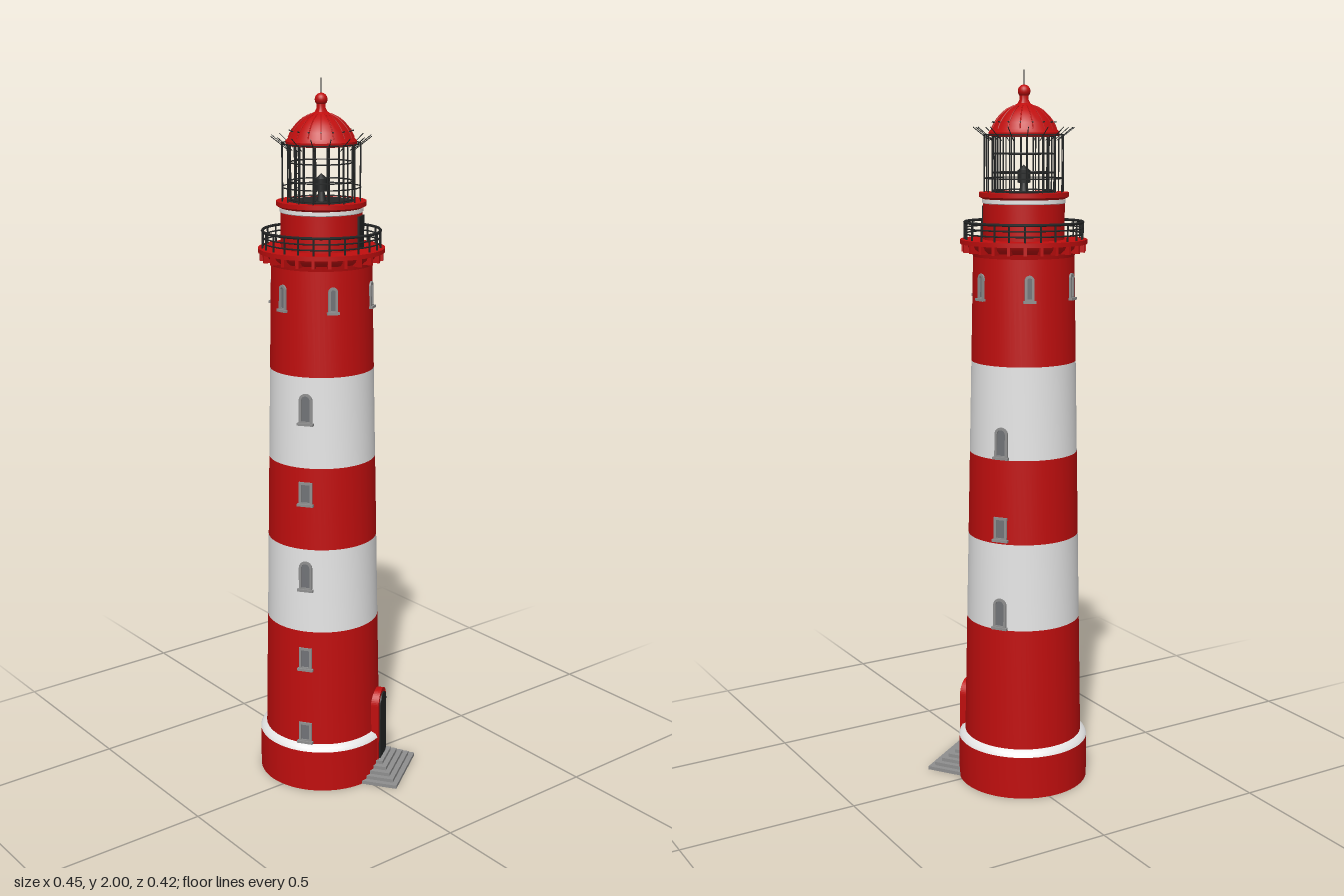
import * as THREE from 'three';
import { toCreasedNormals } from 'three/addons/utils/BufferGeometryUtils.js';

const mat = (name, color, side = THREE.FrontSide) => {
  const m = new THREE.MeshStandardMaterial({ color, side });
  m.name = name;
  return m;
};

export function createModel() {
  const red = mat('red paint', 0xc00e0e);
  const white = mat('white paint', 0xe6e6e6);
  const stone = mat('grey stone', 0x8f8f8f);
  const pane = mat('window pane', 0x707276);
  const iron = mat('dark iron', 0x242626, THREE.DoubleSide);

  const model = new THREE.Group();
  const tower = new THREE.Group();
  tower.name = 'lighthouse';
  tower.position.set(-0.0435, 0, 0.024);
  model.add(tower);

  const add = (name, geo, material, parent = tower) => {
    const m = new THREE.Mesh(geo, material);
    m.name = name;
    parent.add(m);
    return m;
  };
  const lathe = (name, pts, material, seg = 64) =>
    add(name, toCreasedNormals(new THREE.LatheGeometry(pts.map(p => new THREE.Vector2(...p)), seg), 0.6), material);
  // Turns an object to face outward at an azimuth measured from +z towards +x
  const place = (obj, deg, r, y) => {
    const a = THREE.MathUtils.degToRad(deg);
    obj.position.set(Math.sin(a) * r, y, Math.cos(a) * r);
    obj.rotation.set(0, a, 0, 'YXZ');
    return obj;
  };
  const polar = (deg, r, y) => {
    const a = THREE.MathUtils.degToRad(deg);
    return new THREE.Vector3(Math.sin(a) * r, y, Math.cos(a) * r);
  };
  const bar = (name, a, b, t, material = iron) => {
    const m = add(name, new THREE.CylinderGeometry(t, t, a.distanceTo(b), 5), material);
    m.position.copy(a).lerp(b, 0.5);
    m.quaternion.setFromUnitVectors(new THREE.Vector3(0, 1, 0), b.clone().sub(a).normalize());
    return m;
  };
  const ring = (name, r, y, t, material = iron, seg = 48) => {
    const m = add(name, new THREE.TorusGeometry(r, t, 5, seg), material);
    m.rotation.x = Math.PI / 2;
    m.position.y = y;
    return m;
  };
  const wallR = y => 0.167 - (y - 0.14) * 0.0209;

  // Plinth with sloped white shoulder
  lathe('plinth', [[0.185, 0], [0.185, 0.122]], red);
  lathe('plinthShoulder', [[0.185, 0.122], [0.18, 0.132], [0.166, 0.14]], white);
  const foot = add('plinthUnderside', new THREE.CircleGeometry(0.185, 64), stone);
  foot.rotation.x = Math.PI / 2;

  // Tapered shaft in painted bands
  const levels = [0.138, 0.485, 0.73, 0.965, 1.22, 1.52];
  for (let i = 0; i < 5; i++) {
    lathe('shaftBand', [[wallR(levels[i]), levels[i]], [wallR(levels[i + 1]), levels[i + 1]]], i % 2 ? white : red);
  }

  // Arched or square opening outline, based at y = 0
  const outline = (w, h, arched, Type) => {
    const s = new Type();
    s.moveTo(-w / 2, 0);
    s.lineTo(w / 2, 0);
    if (arched) {
      s.lineTo(w / 2, h - w / 2);
      s.absarc(0, h - w / 2, w / 2, 0, Math.PI, false);
    } else {
      s.lineTo(w / 2, h);
      s.lineTo(-w / 2, h);
    }
    s.closePath();
    return s;
  };
  const addWindow = (deg, y, w, h, arched) => {
    const g = new THREE.Group();
    g.name = 'window';
    tower.add(g);
    place(g, deg, wallR(y + h / 2) - 0.004, y);
    g.rotation.x = -0.02;
    const frame = outline(w, h, arched, THREE.Shape);
    const hole = outline(w - 0.014, h - 0.014, arched, THREE.Path);
    frame.holes.push(new THREE.Path(hole.getPoints(10).map(p => p.add(new THREE.Vector2(0, 0.007)))));
    add('windowFrame', new THREE.ExtrudeGeometry(frame, { depth: 0.009, bevelEnabled: false, curveSegments: 10 }), stone, g);
    const glass = add('windowPane', new THREE.ShapeGeometry(outline(w - 0.012, h - 0.012, arched, THREE.Shape), 10), pane, g);
    glass.position.set(0, 0.006, 0.005);
    const sill = add('windowSill', new THREE.BoxGeometry(w + 0.008, 0.007, 0.014), stone, g);
    sill.position.set(0, 0, 0.007);
  };
  // Stair windows on two opposite sides
  [[0.145, 0.06, false], [0.37, 0.065, false], [0.61, 0.085, true], [0.86, 0.065, false], [1.09, 0.085, true]]
    .forEach(([y, h, arched]) => addWindow(35, y, 0.038, h, arched));
  [[0.49, 0.085, true], [0.74, 0.065, false], [0.97, 0.085, true]]
    .forEach(([y, h, arched]) => addWindow(215, y, 0.038, h, arched));
  // Watch room windows
  for (let i = 0; i < 6; i++) addWindow(5 + i * 60, 1.395, 0.026, 0.07, true);

  // Entrance portal, door and stepped landing
  const entrance = new THREE.Group();
  entrance.name = 'entrance';
  tower.add(entrance);
  place(entrance, 125, 0, 0);
  const portal = add('doorSurround', new THREE.ExtrudeGeometry(outline(0.082, 0.215, true, THREE.Shape),
    { depth: 0.04, bevelEnabled: false }), red, entrance);
  portal.position.set(0, 0.046, 0.143);
  const door = add('door', new THREE.ExtrudeGeometry(outline(0.06, 0.2, true, THREE.Shape),
    { depth: 0.006, bevelEnabled: false }), iron, entrance);
  door.position.set(0, 0.05, 0.181);
  for (let i = 0; i < 5; i++) {
    const depth = 0.156 - i * 0.0145;
    const step = add('step', new THREE.BoxGeometry(0.21 - i * 0.029, 0.01, depth), stone, entrance);
    step.position.set(0, 0.005 + i * 0.01, 0.1 + depth / 2);
  }

  // Gallery cornice and deck
  lathe('gallery', [[0.138, 1.505], [0.142, 1.52], [0.155, 1.53], [0.16, 1.54], [0.173, 1.54],
    [0.173, 1.552], [0.1, 1.552]], red);
  for (let i = 0; i < 24; i++) {
    const b = add('galleryBracket', new THREE.BoxGeometry(0.009, 0.022, 0.032), red);
    place(b, i * 15, 0.153, 1.529);
  }

  // Gallery railing
  [[1.598, 0.004], [1.582, 0.0022], [1.567, 0.0022]].forEach(([y, t]) => ring('galleryRail', 0.161, y, t));
  for (let i = 0; i < 24; i++) bar('galleryPost', polar(i * 15, 0.161, 1.54), polar(i * 15, 0.161, 1.598), 0.0028);

  // Service room under the lantern
  lathe('serviceRoom', [[0.111, 1.552], [0.111, 1.648]], red);
  lathe('serviceRoomStripe', [[0.111, 1.648], [0.113, 1.65], [0.113, 1.66]], white);
  lathe('lanternDeck', [[0.111, 1.66], [0.122, 1.666], [0.122, 1.678], [0.092, 1.678]], red);
  lathe('lanternFloor', [[0.094, 1.677], [0, 1.677]], iron);
  const galleryDoor = add('galleryDoor', new THREE.BoxGeometry(0.046, 0.088, 0.014), iron);
  place(galleryDoor, 125, 0.107, 1.597);

  // Lantern cage: inner glazing bars, outer posts and roof spikes
  for (let i = 0; i < 16; i++) {
    const a = i * 22.5 - 4;
    bar('glazingBar', polar(a, 0.085, 1.677), polar(a, 0.085, 1.835), 0.0022);
    bar('outerPost', polar(a, 0.107, 1.677), polar(a, 0.107, 1.832), 0.0018);
    bar('roofSpike', polar(a, 0.092, 1.815), polar(a, 0.137, 1.85), 0.0012);
  }
  [1.682, 1.73, 1.78, 1.826].forEach(y => ring('glazingRing', 0.085, y, 0.002, iron, 16));
  [1.715, 1.83].forEach(y => ring('outerRing', 0.107, y, 0.0018, iron, 16));

  // Lamp on its pedestal, with an inside ladder
  const pedestal = add('lampPedestal', new THREE.CylinderGeometry(0.008, 0.014, 0.03, 12), iron);
  pedestal.position.y = 1.69;
  const lamp = add('lamp', new THREE.CylinderGeometry(0.018, 0.018, 0.034, 16), iron);
  lamp.position.y = 1.72;
  const cap = add('lampCap', new THREE.ConeGeometry(0.015, 0.014, 16), iron);
  cap.position.y = 1.744;
  [-28, -8].forEach(a => bar('ladderRail', polar(a, 0.068, 1.677), polar(a, 0.068, 1.83), 0.0018));
  for (let i = 0; i < 7; i++) {
    const y = 1.695 + i * 0.019;
    bar('ladderRung', polar(-28, 0.068, y), polar(-8, 0.068, y), 0.0013);
  }

  // Domed roof with ribs, finial ball and lightning rod
  const dome = [[0.095, 1.826], [0.096, 1.836], [0.088, 1.845], [0.08, 1.862], [0.066, 1.88], [0.048, 1.896],
    [0.028, 1.906], [0.017, 1.912], [0.012, 1.922], [0.012, 1.935]];
  lathe('dome', dome, red, 48);
  const ceiling = add('domeUnderside', new THREE.CircleGeometry(0.095, 48), iron);
  ceiling.rotation.x = Math.PI / 2;
  ceiling.position.y = 1.826;
  for (let i = 0; i < 16; i++) {
    const path = new THREE.CatmullRomCurve3(dome.slice(2, 7).map(([r, y]) => polar(i * 22.5 + 7, r, y)));
    add('domeRib', new THREE.TubeGeometry(path, 8, 0.0018, 5), red);
    bar('domeVent', polar(i * 22.5 + 7, 0.08, 1.862), polar(i * 22.5 + 7, 0.087, 1.864), 0.0018);
  }
  const ball = add('finialBall', new THREE.SphereGeometry(0.017, 20, 14), red);
  ball.position.y = 1.944;
  bar('lightningRod', new THREE.Vector3(0, 1.955, 0), new THREE.Vector3(0, 2, 0), 0.0012);

  return model;
}
